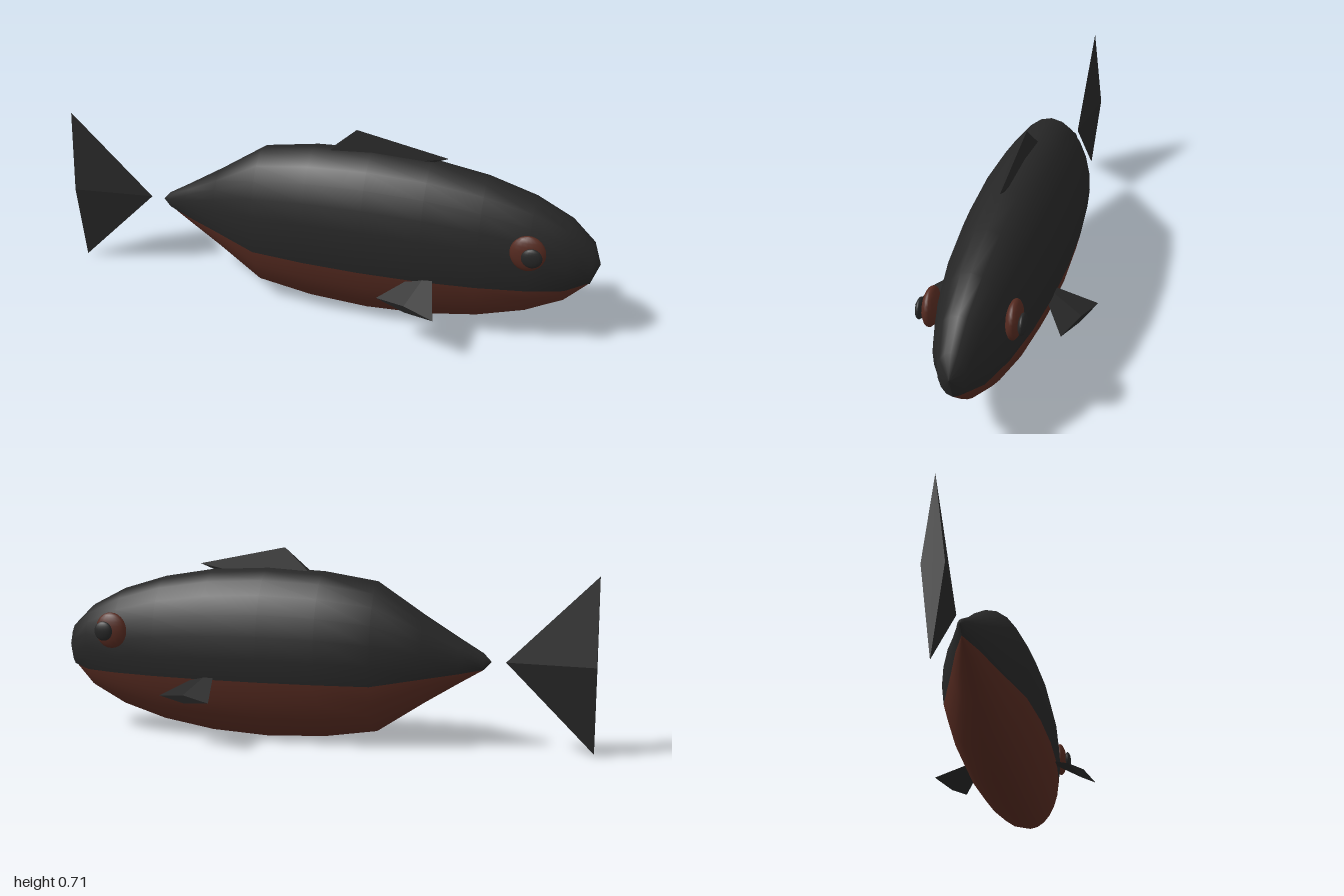
import * as THREE from 'three';
import { ConvexGeometry } from 'three/addons/geometries/ConvexGeometry.js';

const black = new THREE.MeshStandardMaterial({ color: 0x262626 });
black.name = 'charcoal';
const red = new THREE.MeshStandardMaterial({ color: 0x552a20 });
red.name = 'rust';

const MID_Y = 0.32;

// Ellipsoid along x with a tapered tail; the belly is the part below a cut height.
function bodyGeometry() {
  const rings = 12, upper = 14, lower = 10, sides = upper + lower;
  const halfLength = 0.82, halfHeight = 0.317, halfWidth = 0.177, cut = -0.085;
  const positions = [], back = [], belly = [];
  for (let i = 0; i <= rings; i++) {
    const t = -Math.PI / 2 + (Math.PI * i) / rings;
    const x = 0.18 + halfLength * Math.sin(t);
    const r = Math.max(Math.cos(t), 0);
    const taper = x < -0.23 ? Math.max(1 - (-0.23 - x) * 1.66, 0.3) : 1;
    const ratio = r > 1e-6 ? Math.max(cut / (halfHeight * r), -1) : -1;
    const start = Math.asin(ratio);
    for (let j = 0; j < sides; j++) {
      const a = j <= upper
        ? start + ((Math.PI - 2 * start) * j) / upper
        : Math.PI - start + ((Math.PI + 2 * start) * (j - upper)) / lower;
      positions.push(
        x,
        MID_Y + halfHeight * r * taper * Math.sin(a),
        halfWidth * r * taper * Math.cos(a));
    }
  }
  for (let i = 0; i < rings; i++) {
    for (let j = 0; j < sides; j++) {
      const k = (j + 1) % sides;
      const a = i * sides + j, b = a + sides, c = i * sides + k, d = c + sides;
      (j < upper ? back : belly).push(a, b, c, b, d, c);
    }
  }
  const geometry = new THREE.BufferGeometry();
  geometry.setAttribute('position', new THREE.Float32BufferAttribute(positions, 3));
  geometry.setIndex([...back, ...belly]);
  geometry.addGroup(0, back.length, 0);
  geometry.addGroup(back.length, belly.length, 1);
  geometry.computeVertexNormals();
  return geometry;
}

// Four-sided pyramid fin: a point and a thin diamond edge.
function fin(name, apex, tipA, tipB, thickness) {
  const a = new THREE.Vector3(...tipA), b = new THREE.Vector3(...tipB);
  const mid = a.clone().add(b).multiplyScalar(0.5);
  const half = new THREE.Vector3(...thickness);
  const points = [new THREE.Vector3(...apex), a, b, mid.clone().add(half), mid.clone().sub(half)];
  const mesh = new THREE.Mesh(new ConvexGeometry(points), black);
  mesh.name = name;
  return mesh;
}

function ellipsoid(name, material, position, radii) {
  const mesh = new THREE.Mesh(new THREE.SphereGeometry(1, 16, 12), material);
  mesh.name = name;
  mesh.position.set(...position);
  mesh.scale.set(...radii);
  return mesh;
}

export function createModel() {
  const model = new THREE.Group();
  model.name = 'fish';

  // Body with dark back and rust belly
  const body = new THREE.Mesh(bodyGeometry(), [black, red]);
  body.name = 'body';
  model.add(body);

  // Tail and dorsal fins
  model.add(fin('tailFin', [-0.69, MID_Y, 0], [-1, 0.63, 0], [-1, 0.01, 0], [0, 0, 0.036]));
  model.add(fin('dorsalFin', [0.45, 0.645, 0], [0.12, 0.71, 0], [-0.25, 0.37, 0], [0, 0, 0.03]));

  // Side fins, turned half a circle about a vertical line at x = 0.395
  for (const s of [1, -1]) {
    const p = (x, y, z) => [0.395 + s * (x - 0.395), y, s * z];
    model.add(fin(s > 0 ? 'frontSideFin' : 'backSideFin',
      p(0.43, 0.27, 0.107), p(0.26, 0.18, 0.225), p(0.48, 0.178, 0.305), [0, 0.016, s * 0.005]));
  }

  // Eyes
  for (const s of [1, -1]) {
    const eye = new THREE.Group();
    eye.name = s > 0 ? 'frontEye' : 'backEye';
    eye.add(ellipsoid('eyeRing', red, [0.76, 0.398, s * 0.134], [0.062, 0.067, 0.025]));
    eye.add(ellipsoid('pupil', black, [0.777, 0.398, s * 0.164], [0.036, 0.036, 0.013]));
    model.add(eye);
  }
  return model;
}
